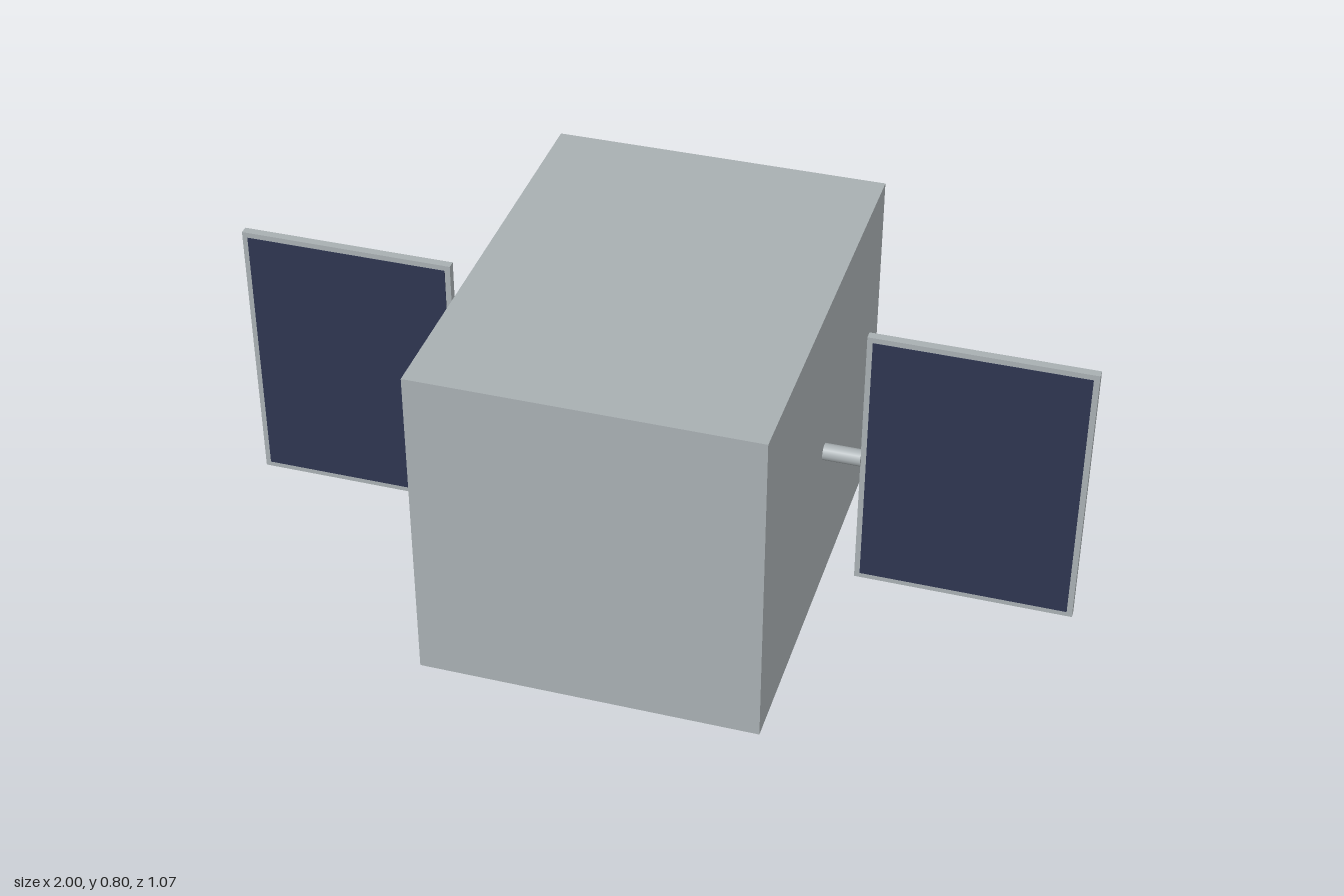
import * as THREE from 'three';

const metal = new THREE.MeshStandardMaterial({ color: 0xaab1b4 });
metal.name = 'greyMetal';
const solar = new THREE.MeshStandardMaterial({ color: 0x2e3551 });
solar.name = 'solarBlue';

function box(name, material, w, h, d, x, y, z) {
  const mesh = new THREE.Mesh(new THREE.BoxGeometry(w, h, d), material);
  mesh.name = name;
  mesh.position.set(x, y, z);
  return mesh;
}

export function createModel() {
  const model = new THREE.Group();
  model.name = 'satellite';
  const midY = 0.4;

  // main bus
  model.add(box('body', metal, 0.8, 0.8, 1.066, 0, midY, 0));

  // mirrored solar wings
  for (const side of [1, -1]) {
    const wing = new THREE.Group();
    wing.name = side > 0 ? 'leftWing' : 'rightWing';

    // arm joining the body to the panel
    const arm = new THREE.Mesh(new THREE.CylinderGeometry(0.02, 0.02, 0.09, 16), metal);
    arm.name = 'arm';
    arm.rotation.z = Math.PI / 2;
    arm.position.set(side * 0.443, midY, 0);
    wing.add(arm);

    // panel frame, with the cells on its front only
    wing.add(box('panelFrame', metal, 0.513, 0.677, 0.02, side * 0.7435, midY, 0));
    wing.add(box('solarCells', solar, 0.487, 0.651, 0.002, side * 0.7435, midY, 0.0105));
    model.add(wing);
  }
  return model;
}
